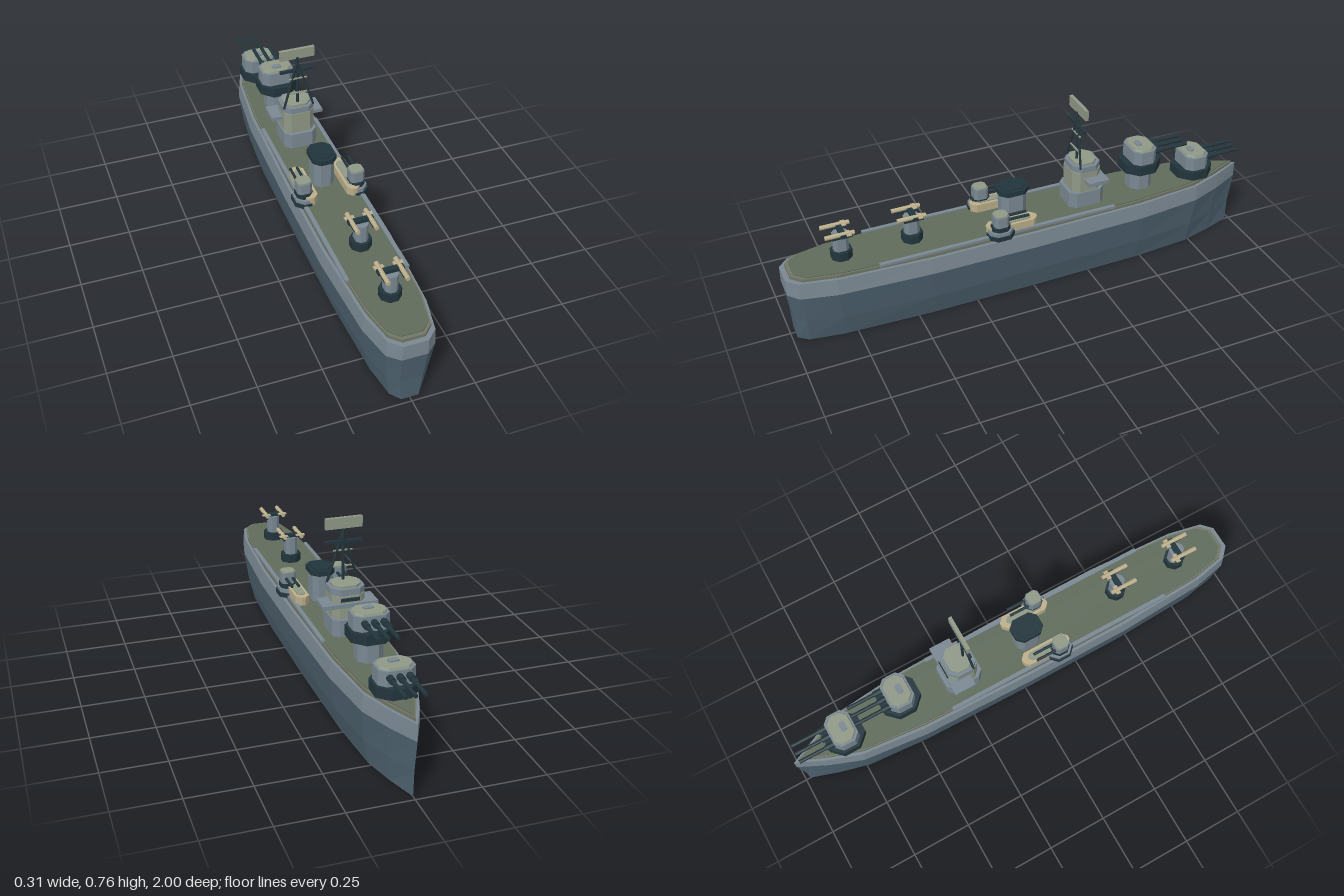
import * as THREE from 'three';

const mat = (name, color) => {
  const m = new THREE.MeshStandardMaterial({ color, flatShading: true });
  m.name = name;
  return m;
};

// Flat-faced loft through convex rings [[x, y, z], ...], capped at both ends
function loft(rings) {
  const pos = [];
  const tri = (a, b, c) => pos.push(...a, ...b, ...c);
  const n = rings[0].length;
  for (let r = 0; r < rings.length - 1; r++) {
    for (let i = 0; i < n; i++) {
      const j = (i + 1) % n, lo = rings[r], hi = rings[r + 1];
      tri(lo[i], lo[j], hi[j]);
      tri(lo[i], hi[j], hi[i]);
    }
  }
  const bottom = rings[0], top = rings[rings.length - 1];
  for (let i = 1; i < n - 1; i++) {
    tri(top[0], top[i], top[i + 1]);
    tri(bottom[0], bottom[i + 1], bottom[i]);
  }
  const g = new THREE.BufferGeometry();
  g.setAttribute('position', new THREE.Float32BufferAttribute(pos, 3));
  g.computeVertexNormals();
  return g;
}

// Half outline of the hull from stern to bow: [x, z]
const HALF = [[0.05, 1], [0.095, 0.96], [0.126, 0.82], [0.146, 0.45], [0.146, 0],
  [0.136, -0.48], [0.107, -0.75], [0.058, -0.88]];
const OUTLINE = [...HALF, [0, -1], ...HALF.map(([x, z]) => [-x, z]).reverse()];
const hullRing = (y, sx, sz) => OUTLINE.map(([x, z]) => [x * sx, y, z * sz]);

// Box with chamfered vertical edges, standing on y0, with an optional taper
function chamferBox(w, d, y0, y1, c, taper = 1) {
  const a = w / 2, b = d / 2;
  const pts = [[a, b - c], [a, c - b], [a - c, -b], [c - a, -b],
    [-a, c - b], [-a, b - c], [c - a, b], [a - c, b]];
  return loft([[y0, 1], [y1, taper]].map(([y, s]) => pts.map(([x, z]) => [x * s, y, z * s])));
}

export function createModel() {
  const hullGrey = mat('hull grey', 0x7a8892);
  const hullBlue = mat('lower hull blue grey', 0x4d616e);
  const deckGreen = mat('deck green', 0x5f6b5b);
  const edgeOlive = mat('deck edge olive', 0x717666);
  const dark = mat('dark steel', 0x22353c);
  const pale = mat('pale olive', 0x8f9887);
  const tan = mat('tan', 0xbbae8b);

  const ship = new THREE.Group();
  ship.name = 'warship';
  const group = (name, x = 0, y = 0, z = 0, parent = ship) => {
    const g = new THREE.Group();
    g.name = name;
    g.position.set(x, y, z);
    parent.add(g);
    return g;
  };
  const add = (parent, name, geo, material, x = 0, y = 0, z = 0) => {
    const m = new THREE.Mesh(geo, material);
    m.name = name;
    m.position.set(x, y, z);
    parent.add(m);
    return m;
  };
  const box = (w, h, d) => new THREE.BoxGeometry(w, h, d);
  const barrel = (r, len) => new THREE.CylinderGeometry(r, r, len, 8).rotateX(Math.PI / 2);
  const strut = (parent, name, from, to, r, material) => {
    const a = new THREE.Vector3(...from), b = new THREE.Vector3(...to);
    const m = add(parent, name, new THREE.CylinderGeometry(r, r, a.distanceTo(b), 6), material);
    m.position.copy(a).add(b).multiplyScalar(0.5);
    m.quaternion.setFromUnitVectors(new THREE.Vector3(0, 1, 0), b.sub(a).normalize());
  };

  // Hull and deck
  add(ship, 'lowerHull', loft([hullRing(0, 0.68, 0.98), hullRing(0.1, 0.87, 0.983),
    hullRing(0.226, 1, 1)]), hullBlue);
  add(ship, 'upperHull', loft([hullRing(0.226, 1, 1), hullRing(0.293, 0.95, 1)]), hullGrey);
  add(ship, 'deckEdge', loft([hullRing(0.293, 0.87, 0.98), hullRing(0.306, 0.87, 0.98)]), edgeOlive);
  add(ship, 'deck', loft([hullRing(0.306, 0.83, 0.965), hullRing(0.31, 0.83, 0.965)]), deckGreen);
  for (const s of [1, -1]) add(ship, 'deckStrip', box(0.016, 0.01, 1), hullGrey, s * 0.118, 0.31, 0.15);

  // Main triple turrets, the second raised on a barbette
  const turret = (y, z) => {
    const g = group('mainTurret', 0, y, z);
    add(g, 'turretRing', chamferBox(0.16, 0.16, 0, 0.042, 0.045), dark);
    add(g, 'turretHouse', chamferBox(0.14, 0.105, 0.042, 0.1, 0.025), hullGrey);
    add(g, 'turretRoof', chamferBox(0.126, 0.092, 0.1, 0.108, 0.025, 0.94), pale);
    add(g, 'roofHatch', chamferBox(0.04, 0.025, 0.108, 0.113, 0.007), hullGrey, 0, 0, 0.01);
    for (const x of [-0.036, 0, 0.036]) {
      add(g, 'gunSleeve', barrel(0.013, 0.04), dark, x, 0.078, -0.065);
      add(g, 'gunBarrel', barrel(0.008, 0.16), dark, x, 0.078, -0.12);
    }
  };
  turret(0.308, -0.775);
  turret(0.397, -0.52);
  add(ship, 'barbette', chamferBox(0.1, 0.1, 0.306, 0.4, 0.028), hullGrey, 0, 0, -0.52);

  // Bridge
  const bridge = group('bridge', 0, 0, -0.255);
  add(bridge, 'bridgeBase', chamferBox(0.14, 0.155, 0.306, 0.378, 0.025), hullGrey);
  add(bridge, 'bridgeHouse', chamferBox(0.13, 0.125, 0.378, 0.47, 0.025), pale);
  add(bridge, 'bridgeTop', chamferBox(0.136, 0.12, 0.47, 0.495, 0.03), hullGrey);
  add(bridge, 'bridgeRoof', chamferBox(0.11, 0.095, 0.495, 0.504, 0.025), pale);
  add(bridge, 'bridgeWings', box(0.22, 0.016, 0.09), hullGrey, 0, 0.433, -0.025);
  add(bridge, 'bridgeWindows', box(0.075, 0.014, 0.006), dark, 0, 0.455, -0.0635);

  // Tripod mast with yard and aerial panel
  const mast = group('mast', 0, 0, -0.23);
  strut(mast, 'mastPole', [0, 0.495, 0], [0, 0.72, 0], 0.006, dark);
  for (const s of [1, -1]) strut(mast, 'mastLeg', [s * 0.063, 0.488, 0.012], [0, 0.7, 0], 0.005, dark);
  add(mast, 'yard', box(0.148, 0.011, 0.012), dark, 0, 0.658, 0);
  add(mast, 'upperRung', box(0.076, 0.005, 0.006), pale, 0, 0.621, 0.005);
  add(mast, 'lowerRung', box(0.076, 0.005, 0.006), pale, 0, 0.555, 0.009);
  add(mast, 'aerialPanel', box(0.146, 0.043, 0.014), pale, 0, 0.734, -0.004);

  // Funnel
  const funnel = group('funnel', 0, 0, 0.055);
  add(funnel, 'funnelBody', chamferBox(0.085, 0.105, 0.306, 0.425, 0.022), hullGrey);
  add(funnel, 'funnelCap', chamferBox(0.1, 0.125, 0.425, 0.446, 0.026), dark);
  add(funnel, 'funnelMouth', chamferBox(0.075, 0.095, 0.446, 0.451, 0.02), dark);

  // Side guns on sponsons and the boats beside them
  for (const s of [1, -1]) {
    const gun = group('sideGun', s * 0.11, 0, 0.15);
    add(gun, 'sponson', chamferBox(0.085, 0.11, 0.302, 0.32, 0.028), dark);
    add(gun, 'sponsonPlate', chamferBox(0.076, 0.1, 0.32, 0.335, 0.026), hullGrey);
    add(gun, 'gunRing', chamferBox(0.064, 0.075, 0.335, 0.355, 0.02), dark);
    add(gun, 'gunHouse', chamferBox(0.06, 0.06, 0.355, 0.4, 0.012), hullGrey);
    add(gun, 'gunRoof', chamferBox(0.054, 0.054, 0.4, 0.405, 0.012), pale);
    for (const x of [-0.014, 0.014]) add(gun, 'sideBarrel', barrel(0.006, 0.09), dark, x, 0.378, -0.07);

    const boat = group('boat', s * 0.09, 0, 0.095);
    add(boat, 'boatHull', chamferBox(0.056, 0.21, 0.31, 0.346, 0.02, 1.02), tan);
    add(boat, 'boatCover', chamferBox(0.034, 0.16, 0.346, 0.35, 0.012), pale);
  }

  // Twin aft launchers
  for (const z of [0.48, 0.765]) {
    const g = group('aftLauncher', 0, 0, z);
    add(g, 'launcherBase', chamferBox(0.08, 0.08, 0.306, 0.346, 0.024), dark);
    add(g, 'launcherColumn', chamferBox(0.05, 0.06, 0.346, 0.42, 0.014), hullGrey);
    add(g, 'launcherArm', box(0.1, 0.014, 0.022), dark, 0, 0.427, -0.005);
    for (const s of [1, -1]) {
      add(g, 'launcherRail', box(0.01, 0.01, 0.08), dark, s * 0.037, 0.42, 0);
      add(g, 'launcherTube', barrel(0.009, 0.115), tan, s * 0.037, 0.432, 0.008);
      add(g, 'tubeFins', box(0.038, 0.004, 0.018), tan, s * 0.037, 0.432, -0.025);
    }
  }
  return ship;
}
